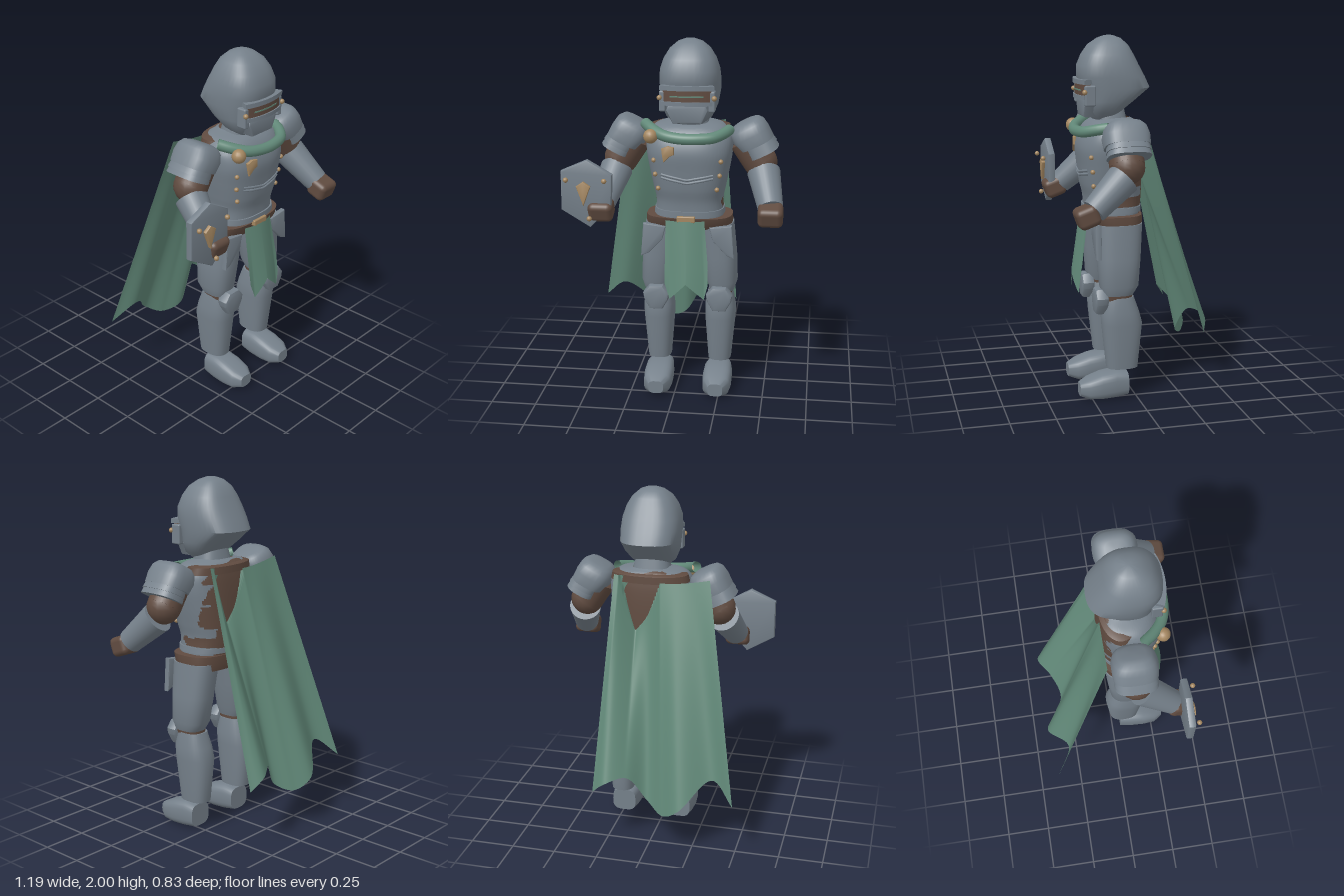
import * as THREE from 'three';
import { toCreasedNormals } from 'three/addons/utils/BufferGeometryUtils.js';
import { RoundedBoxGeometry } from 'three/addons/geometries/RoundedBoxGeometry.js';

const mat = (name, color, side = THREE.FrontSide) => {
  const m = new THREE.MeshStandardMaterial({ color, side });
  m.name = name;
  return m;
};
const steel = mat('steel', 0x75808a);
const leather = mat('leather', 0x604b40, THREE.DoubleSide);
const cloth = mat('cloth', 0x618878, THREE.DoubleSide);
const brass = mat('brass', 0xa38660);
const V = (x, y, z) => new THREE.Vector3(x, y, z);
const lerp = THREE.MathUtils.lerp;

function add(parent, name, geo, material, x = 0, y = 0, z = 0) {
  const m = new THREE.Mesh(geo, material);
  m.name = name;
  m.position.set(x, y, z);
  parent.add(m);
  return m;
}

// Loft of superellipse rings [y, centreX, halfWidth, zFront, zBack], rising in y
function loft(rings, n = 28, e = 2.6, keep = null) {
  const pos = [], idx = [];
  const pw = (c) => Math.sign(c) * Math.abs(c) ** (2 / e);
  for (const [y, cx, w, f, b] of rings)
    for (let j = 0; j < n; j++) {
      const t = (j / n) * Math.PI * 2;
      pos.push(cx + w * pw(Math.cos(t)), y, (f + b) / 2 + ((f - b) / 2) * pw(Math.sin(t)));
    }
  for (let i = 0; i < rings.length - 1; i++)
    for (let j = 0; j < n; j++) {
      const a = i * n + j, b = i * n + ((j + 1) % n);
      if (keep && !keep(pos[a * 3], pos[a * 3 + 1], pos[a * 3 + 2])) continue;
      idx.push(a, a + n, b, b, a + n, b + n);
    }
  const last = rings.length - 1;
  if (!keep) for (const i of [0, last]) {
    const [y, cx, , f, b] = rings[i], c = pos.length / 3;
    pos.push(cx, y, (f + b) / 2);
    for (let j = 0; j < n; j++) {
      const p = i * n + j, q = i * n + ((j + 1) % n);
      idx.push(c, ...(i ? [q, p] : [p, q]));
    }
  }
  const g = new THREE.BufferGeometry();
  g.setAttribute('position', new THREE.Float32BufferAttribute(pos, 3));
  g.setIndex(idx);
  return toCreasedNormals(g, 0.7);
}

// Smoothly resample rings
function refine(rings, k) {
  const A = new THREE.CatmullRomCurve3(rings.map((r) => V(r[0], r[1], r[2])), false, 'catmullrom');
  const B = new THREE.CatmullRomCurve3(rings.map((r) => V(r[3], r[4], 0)), false, 'catmullrom');
  return Array.from({ length: k + 1 }, (_, i) => {
    const a = A.getPoint(i / k), b = B.getPoint(i / k);
    return [a.x, a.y, a.z, b.x, b.y];
  });
}

// Bevelled flat plate from an outline, thickness running forward from z = 0
function plate(pts, depth, bevel = 0.006) {
  const s = new THREE.Shape(pts.map((p) => new THREE.Vector2(p[0], p[1])));
  return toCreasedNormals(new THREE.ExtrudeGeometry(s, {
    depth, bevelThickness: bevel, bevelSize: bevel, bevelOffset: -bevel, bevelSegments: 2,
  }), 0.5);
}

// Horizontal bar curved gently around the face
function arcBar(r1, half, h) {
  const s = new THREE.Shape(), m = -Math.PI / 2;
  s.absarc(0, 0, r1, m - half, m + half, false);
  s.absarc(0, 0, 0.3, m + half, m - half, true);
  const g = new THREE.ExtrudeGeometry(s, { depth: h, bevelEnabled: false, curveSegments: 20 });
  return toCreasedNormals(g.rotateX(-Math.PI / 2), 0.5);
}

// Tapered limb between two points
function limb(a, b, ra, rb) {
  const d = b.clone().sub(a);
  const g = new THREE.CylinderGeometry(rb, ra, d.length(), 24);
  g.applyQuaternion(new THREE.Quaternion().setFromUnitVectors(V(0, 1, 0), d.clone().normalize()));
  const c = a.clone().add(b).multiplyScalar(0.5);
  return g.translate(c.x, c.y, c.z);
}

// Cloth sheet from a function of (u, v), v running downward
function sheet(fn, nu, nv) {
  const g = new THREE.PlaneGeometry(1, 1, nu, nv), p = g.attributes.position;
  for (let i = 0; i < p.count; i++) {
    const q = fn(p.getX(i) + 0.5, 0.5 - p.getY(i));
    p.setXYZ(i, q.x, q.y, q.z);
  }
  g.computeVertexNormals();
  return g;
}
const ball = (r) => new THREE.SphereGeometry(r, 16, 12);

export function createModel() {
  const root = new THREE.Group();
  root.name = 'caped knight';
  const body = new THREE.Group();
  body.name = 'figure';
  body.position.x = 0.07;
  root.add(body);

  // Torso: steel shell with worn leather areas towards the back
  const torso = refine([
    [1.02, 0, 0.19, 0.245, -0.05], [1.12, 0, 0.185, 0.25, -0.06], [1.2, 0, 0.2, 0.268, -0.062],
    [1.3, 0, 0.22, 0.28, -0.06], [1.4, 0, 0.235, 0.287, -0.055], [1.48, 0, 0.23, 0.262, -0.047],
    [1.535, 0, 0.19, 0.215, -0.035], [1.56, 0, 0.1, 0.14, 0.0]], 60);
  const front = (u, y) => {
    const r = torso.find((t) => t[0] >= y);
    return (r[3] + r[4]) / 2 + ((r[3] - r[4]) / 2) * (1 - Math.abs(u / r[2]) ** 2.6) ** (1 / 2.6);
  };
  const worn = (x, y, z) => {
    const n = 0.012 * Math.sin(x * 17 + y * 55) + 0.008 * Math.sin(y * 110 + z * 40);
    const k = y + 0.4 * n;
    const edge = k < 1.07 ? -0.03 : k < 1.13 ? 0.14 : k < 1.18 ? -0.045 : k < 1.31 ? 0.015 : -0.02;
    return z < edge + n;
  };
  add(body, 'cuirass', loft(torso, 160, 2.6, (x, y, z) => !worn(x, y, z)), steel);
  add(body, 'wornLeatherBacking', loft(torso, 160, 2.6, worn), leather);
  add(body, 'cuirassRim', loft([[1.045, 0, 0.196, 0.256, -0.06], [1.075, 0, 0.192, 0.256, -0.06]], 40), steel);
  add(body, 'collar', loft([[1.49, 0, 0.225, 0.17, -0.058], [1.53, 0, 0.215, 0.16, -0.056], [1.54, 0, 0.18, 0.13, -0.04]], 40, 2.2), leather);
  add(body, 'neck', loft([[1.48, 0, 0.12, 0.19, 0], [1.62, 0, 0.09, 0.19, 0.03]]), steel);
  for (const y of [1.288, 1.262]) {
    const pts = [-0.14, -0.09, -0.045, 0, 0.045, 0.09, 0.14].map((u) => {
      const h = y + (y > 1.27 ? -1 : 1) * 0.004 - 0.025 * (1 - Math.abs(u) / 0.14);
      return V(u, h, front(u, h));
    });
    add(body, 'chestRidge', new THREE.TubeGeometry(new THREE.CatmullRomCurve3(pts), 30, 0.007, 8), steel);
  }
  for (const s of [-1, 1])
    for (const [u, y] of [[0.182, 1.36], [0.175, 1.28], [0.16, 1.2]])
      add(body, 'rivet', ball(0.013), brass, s * u, y, front(u, y) + 0.004);
  const badge = add(body, 'chestBadge', plate([[-0.035, 0.03], [0, 0.045], [0.033, 0.04], [0.035, 0],
    [0.012, -0.01], [-0.022, -0.045], [-0.03, -0.01]], 0.012, 0.004), brass, -0.1, 1.4, front(0.1, 1.4) - 0.006);
  badge.rotation.y = -0.15;

  // Belt, buckle and swallow-tailed front cloth
  add(body, 'belt', loft([[0.95, 0, 0.235, 0.2, -0.05], [0.985, 0, 0.24, 0.235, -0.056], [1.035, 0, 0.238, 0.25, -0.056]], 40, 3), leather);
  add(body, 'buckle', new RoundedBoxGeometry(0.1, 0.035, 0.03, 2, 0.006), brass, -0.005, 1.035, 0.255);
  const hem = [[0, 0.68], [0.12, 0.59], [0.5, 0.68], [0.92, 0.592], [1, 0.67]];
  add(body, 'tabard', sheet((u, v) => {
    const i = hem.findIndex((h, k) => k > 0 && u <= h[0] + 1e-6);
    const [a, b] = [hem[i - 1], hem[i]];
    const end = lerp(a[1], b[1], (u - a[0]) / (b[0] - a[0]));
    return V(lerp(-0.118, lerp(0.095, 0.12, Math.min(1, v * 1.4)), u), lerp(1.025, end, v),
      0.25 + 0.05 * v + 0.022 * Math.sin(Math.PI * u));
  }, 50, 16), cloth);

  // Helmet with a swept-back lower edge
  add(body, 'helmet', loft([
    [1.55, 0, 0.075, 0.2, 0.1], [1.59, 0, 0.125, 0.232, 0.052], [1.65, 0, 0.152, 0.245, -0.024],
    [1.72, 0, 0.162, 0.262, -0.113], [1.78, 0, 0.165, 0.282, -0.085], [1.84, 0, 0.16, 0.28, -0.052],
    [1.9, 0, 0.14, 0.255, -0.022], [1.95, 0, 0.109, 0.22, 0.006], [1.985, 0, 0.067, 0.17, 0.045],
    [2.0, 0, 0.025, 0.13, 0.085]], 40, 2.7), steel);
  add(body, 'brow', arcBar(0.4, 0.375, 0.025), steel, 0, 1.745, -0.1);
  add(body, 'visorLowerBar', arcBar(0.397, 0.35, 0.022), steel, 0, 1.664, -0.1);
  add(body, 'visorBand', arcBar(0.39, 0.34, 0.06), leather, 0, 1.685, -0.1);
  add(body, 'visorSlit', arcBar(0.393, 0.23, 0.007), cloth, 0, 1.71, -0.1);
  add(body, 'chinGuard', plate([[-0.1, 1.668], [0.1, 1.668], [0.112, 1.635], [0.078, 1.565], [-0.078, 1.565], [-0.112, 1.635]], 0.06, 0.012), steel, 0, 0, 0.195);

  for (const s of [-1, 1]) {
    add(body, 'cheekPlate', new RoundedBoxGeometry(0.035, 0.11, 0.06, 2, 0.008), steel, s * 0.132, 1.685, 0.24);
    add(body, 'visorStud', ball(0.014), brass, s * 0.146, 1.705, 0.272);

    // Arm
    const shoulder = V(s * 0.3, 1.46, 0.1), elbow = V(s * 0.385, 1.335, 0.1);
    const wrist = V(s * 0.455, 1.125, 0.295);
    add(body, 'upperArm', limb(shoulder, elbow, 0.092, 0.094), leather);
    add(body, 'elbow', ball(0.094), leather, ...elbow.toArray());
    add(body, 'forearm', limb(V(s * 0.407, 1.28, 0.125), wrist, 0.09, 0.068), steel);
    const hand = add(body, 'hand', new RoundedBoxGeometry(0.135, 0.11, 0.12, 3, 0.03), leather, s * 0.457, 1.1, 0.333);
    hand.rotation.x = 0.35;
    const pauldron = new THREE.Group();
    pauldron.name = 'pauldron';
    pauldron.position.set(s * 0.345, 1.46, 0.095);
    pauldron.rotation.z = s * 0.47;
    body.add(pauldron);
    add(pauldron, 'shoulderCap', loft([[-0.03, s * 0.008, 0.097, 0.122, -0.122], [0.03, 0, 0.105, 0.125, -0.125],
      [0.075, 0, 0.098, 0.112, -0.112], [0.1, 0, 0.078, 0.09, -0.09], [0.108, 0, 0.05, 0.06, -0.06]], 32, 2.9), steel);
    for (const y of [-0.062, -0.092])
      add(pauldron, 'shoulderLame', loft([[y, s * 0.022, 0.088, 0.118, -0.118], [y + 0.045, s * 0.016, 0.086, 0.11, -0.11]], 32, 2.9), steel);

    // Leg
    add(body, 'thigh', loft([[0.6, s * 0.185, 0.07, 0.19, 0.02], [0.65, s * 0.185, 0.086, 0.205, -0.01],
      [0.8, s * 0.17, 0.095, 0.215, -0.025], [0.99, s * 0.145, 0.1, 0.222, -0.04]]), steel);
    add(body, 'kneeJoint', loft([[0.54, s * 0.178, 0.062, 0.175, 0.025], [0.64, s * 0.182, 0.068, 0.195, 0.02]]), leather);
    add(body, 'shin', loft([[0.175, s * 0.173, 0.065, 0.165, -0.01], [0.43, s * 0.175, 0.086, 0.192, -0.034],
      [0.5, s * 0.175, 0.086, 0.195, -0.015], [0.585, s * 0.175, 0.07, 0.175, 0.015]]), steel);
    add(body, 'kneeCap', plate([[-0.038, 0.072], [0.038, 0.072], [0.074, 0.025], [0.068, -0.01], [0.035, -0.068],
      [-0.035, -0.068], [-0.068, -0.01], [-0.074, 0.025]].reverse(), 0.036, 0.018), steel, s * 0.177, 0.563, 0.182);
    add(body, 'foot', loft([[0.05, 0, 0.07, -0.015, -0.148], [0.12, 0, 0.08, -0.004, -0.16], [0.2, 0, 0.082, 0, -0.145],
      [0.27, 0, 0.075, -0.005, -0.12], [0.32, 0, 0.042, -0.022, -0.095]], 28, 3.2).rotateX(Math.PI / 2), steel, s * 0.168, 0, 0);
    const hip = [[0.12, 0.985], [0.245, 1.0], [0.258, 0.81], [0.215, 0.83], [0.14, 0.91]].map(([u, y]) => [s * u, y]);
    add(body, 'hipPlate', plate(hip, 0.02, 0.006), steel, 0, 0, 0.212);
  }

  // Scarf and clasp
  const scarf = new THREE.CatmullRomCurve3([V(-0.24, 1.545, 0.16), V(-0.195, 1.525, 0.215), V(-0.12, 1.5, 0.272),
    V(-0.03, 1.49, 0.295), V(0.06, 1.49, 0.295), V(0.14, 1.495, 0.272), V(0.195, 1.51, 0.215), V(0.22, 1.52, 0.16)]);
  add(body, 'scarf', new THREE.TubeGeometry(scarf, 48, 0.03, 14), cloth);
  add(body, 'clasp', ball(0.039), brass, -0.195, 1.495, 0.27);

  // Cape: falls from the shoulders to a waving hem, clinging to the back in a V near the left shoulder
  const hemLine = new THREE.CatmullRomCurve3([V(-0.5, 0.35, -0.38), V(-0.37, 0.46, -0.3), V(-0.2, 0.3, -0.413),
    V(-0.1, 0.24, -0.37), V(0.0, 0.29, -0.305), V(0.11, 0.44, -0.35), V(0.22, 0.42, -0.413), V(0.3, 0.35, -0.385)]);
  add(root, 'cape', sheet((u, v) => {
    const end = hemLine.getPoint(u), t = (end.x + 0.5) / 0.8;
    const cling = 0.26 * Math.max(0, 1 - Math.abs(t - 0.78) / (t < 0.78 ? 0.26 : 0.17));
    const q = V(lerp(-0.29, 0.25, t), 1.535 - 0.035 * Math.sin(Math.PI * t), 0).lerp(end, v);
    q.z = v < cling ? -0.038 : lerp(-0.052, end.z, (v - cling) / (1 - cling));
    return q;
  }, 100, 60), cloth);

  // Shield on the right arm
  add(root, 'shield', plate([[-0.455, 1.378], [-0.32, 1.3], [-0.325, 1.13], [-0.44, 1.005], [-0.598, 1.1], [-0.598, 1.315]].reverse(), 0.024, 0.008),
    steel, 0, 0, 0.343);
  add(root, 'shieldEmblem', plate([[-0.512, 1.235], [-0.473, 1.262], [-0.435, 1.235], [-0.473, 1.13]].reverse(), 0.016, 0.004), brass, 0, 0, 0.375);
  for (const [x, y] of [[-0.565, 1.272], [-0.357, 1.272], [-0.44, 1.062]])
    add(root, 'shieldStud', ball(0.014), brass, x, y, 0.4);
  return root;
}
